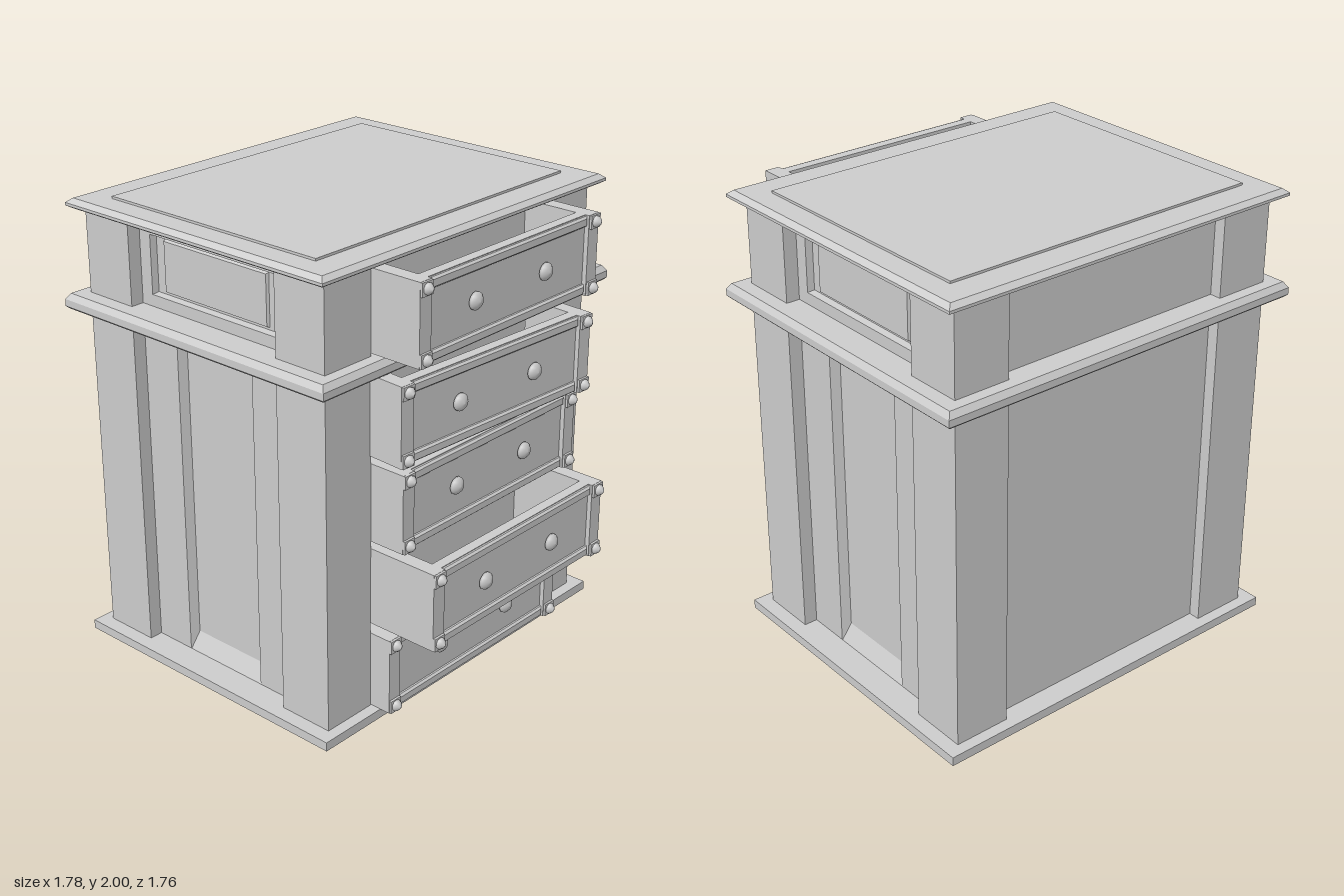
import * as THREE from 'three';

const mat = new THREE.MeshStandardMaterial({ color: 0xcccccc });
const matDouble = new THREE.MeshStandardMaterial({ color: 0xcccccc, side: THREE.DoubleSide });

// Flat-faced loft through rectangles [x0, x1, y0, y1, z]; the end is capped, the start if solid
function rectLoft(rings, solid = true) {
  const pos = [];
  const corners = ([x0, x1, y0, y1, z]) => [[x0, y0, z], [x1, y0, z], [x1, y1, z], [x0, y1, z]];
  const quad = (a, b, c, d) => pos.push(...a, ...b, ...c, ...a, ...c, ...d);
  const loops = rings.map(corners);
  for (let i = 0; i < loops.length - 1; i++) {
    for (let j = 0; j < 4; j++) {
      const k = (j + 1) % 4;
      quad(loops[i][j], loops[i][k], loops[i + 1][k], loops[i + 1][j]);
    }
  }
  quad(...loops[loops.length - 1]);
  if (solid) quad(...loops[0].slice().reverse());
  const g = new THREE.BufferGeometry();
  g.setAttribute('position', new THREE.Float32BufferAttribute(pos, 3));
  g.computeVertexNormals();
  return g;
}

function add(parent, name, geometry, x = 0, y = 0, z = 0, material = mat) {
  const m = new THREE.Mesh(geometry, material);
  m.name = name;
  m.position.set(x, y, z);
  parent.add(m);
  return m;
}

// Box given by its limits on each axis
function box(parent, name, x0, x1, y0, y1, z0, z1) {
  return add(parent, name, new THREE.BoxGeometry(x1 - x0, y1 - y0, z1 - z0),
    (x0 + x1) / 2, (y0 + y1) / 2, (z0 + z1) / 2);
}

// Horizontal slab from [halfWidth, halfDepth, y] levels
function slab(parent, name, levels) {
  const g = rectLoft(levels.map(([w, d, y]) => [-w, w, -d, d, y]));
  g.rotateX(-Math.PI / 2);
  return add(parent, name, g);
}

// Open drawer with framed front; origin at the centre of the front face
function makeDrawer(length) {
  const d = new THREE.Group();
  const W = 0.545, H = 0.168, inner = 0.48;
  box(d, 'drawerFront', -W, W, -H, H, -0.065, -0.02);
  box(d, 'drawerFloor', -W, W, -H, -H + 0.03, -length, -0.06);
  for (const s of [-1, 1]) {
    const [a, b] = s < 0 ? [-W, -inner] : [inner, W];
    box(d, 'drawerSide', a, b, -H, H, -length, -0.06);
    box(d, 'drawerStile', a, b, -H, H, -0.03, 0);
    // Raised horizontal moulding
    const y = s * 0.143;
    add(d, 'drawerMoulding', rectLoft([
      [-inner, inner, y - 0.022, y + 0.022, -0.025],
      [-inner, inner, y - 0.022, y + 0.022, -0.012],
      [-inner + 0.01, inner - 0.01, y - 0.014, y + 0.014, -0.003]]));
    // Corner plates with pointed studs
    for (const t of [-1, 1]) {
      const cx = s * 0.514, cy = t * 0.139;
      box(d, 'cornerPlate', cx - 0.03, cx + 0.03, cy - 0.028, cy + 0.028, -0.01, 0.01);
      const stud = new THREE.LatheGeometry([[0.024, 0], [0.024, 0.008], [0.014, 0.02], [0, 0.028]]
        .map(p => new THREE.Vector2(...p)), 10);
      stud.rotateX(Math.PI / 2);
      add(d, 'cornerStud', stud, cx, cy, 0.009);
    }
    // Round pull knob
    const knob = new THREE.LatheGeometry([[0.02, 0], [0.02, 0.006], [0.037, 0.01], [0.036, 0.02],
      [0.022, 0.033], [0, 0.038]].map(p => new THREE.Vector2(...p)), 16);
    knob.rotateX(Math.PI / 2);
    add(d, 'drawerKnob', knob, s * 0.215, 0.005, -0.021);
  }
  return d;
}

export function createModel() {
  const model = new THREE.Group();
  const c = new THREE.Group();
  c.name = 'cabinet';
  c.rotation.y = -0.0235;
  c.position.z = -0.1425;
  model.add(c);

  // Corner posts, running down to the feet
  for (const sx of [-1, 1]) for (const sz of [-1, 1]) {
    add(c, 'cornerPost', new THREE.BoxGeometry(0.25, 1.955, 0.25), sx * 0.67, 0.9775, sz * 0.525);
  }

  // Base frame, open in the middle
  const rect = (P, w, d) => new P().moveTo(-w, -d).lineTo(w, -d).lineTo(w, d).lineTo(-w, d).closePath();
  const frame = rect(THREE.Shape, 0.86, 0.70);
  frame.holes.push(rect(THREE.Path, 0.735, 0.59));
  const base = new THREE.ExtrudeGeometry(frame, { depth: 0.04, bevelEnabled: false });
  base.rotateX(-Math.PI / 2);
  add(c, 'baseFrame', base, 0, 0.02, 0);

  // Waist moulding, cornice and top
  slab(c, 'waistMoulding', [[0.865, 0.708, 1.525], [0.875, 0.718, 1.535], [0.875, 0.718, 1.565], [0.858, 0.70, 1.59]]);
  slab(c, 'cornice', [[0.735, 0.59, 1.922], [0.79, 0.645, 1.952]]);
  slab(c, 'topSlab', [[0.835, 0.68, 1.948], [0.855, 0.70, 1.96], [0.855, 0.70, 1.972], [0.832, 0.677, 1.99]]);
  slab(c, 'topPanel', [[0.735, 0.555, 1.985], [0.735, 0.555, 2.0]]);

  // Recessed side panels
  const lower = rectLoft([
    [-0.41, 0.41, 0.05, 1.53, 0], [-0.21, 0.21, 0.055, 1.528, 0],
    [-0.195, 0.195, 0.135, 1.46, -0.04]], false);
  const upper = rectLoft([
    [-0.41, 0.41, 1.58, 1.955, 0], [-0.34, 0.34, 1.64, 1.89, 0],
    [-0.335, 0.335, 1.645, 1.885, -0.03], [-0.285, 0.285, 1.655, 1.875, -0.03],
    [-0.28, 0.28, 1.66, 1.87, -0.018]], false);
  for (const s of [-1, 1]) {
    for (const [name, g] of [['lowerSidePanel', lower], ['upperSidePanel', upper]]) {
      add(c, name, g, s * 0.735, 0, 0, matDouble).rotation.y = s * Math.PI / 2;
    }
  }

  // Back panel and the wall behind the drawers
  box(c, 'backPanel', -0.56, 0.56, 0.05, 1.955, -0.6, -0.57);
  box(c, 'drawerWall', -0.56, 0.56, 0.05, 1.955, 0.53, 0.57);

  // Drawers pulled out by different amounts: [centre y, front z, x, turn]
  const drawers = [
    [1.77, 0.885, 0, 0],
    [1.35, 0.85, -0.017, -0.063],
    [0.977, 0.81, 0.005, 0],
    [0.613, 0.972, 0, 0],
    [0.231, 0.75, 0, 0]];
  for (const [y, z, x, turn] of drawers) {
    const d = makeDrawer(z - 0.56);
    d.name = 'drawer';
    d.position.set(x, y, z);
    d.rotation.y = turn;
    c.add(d);
  }
  return model;
}
